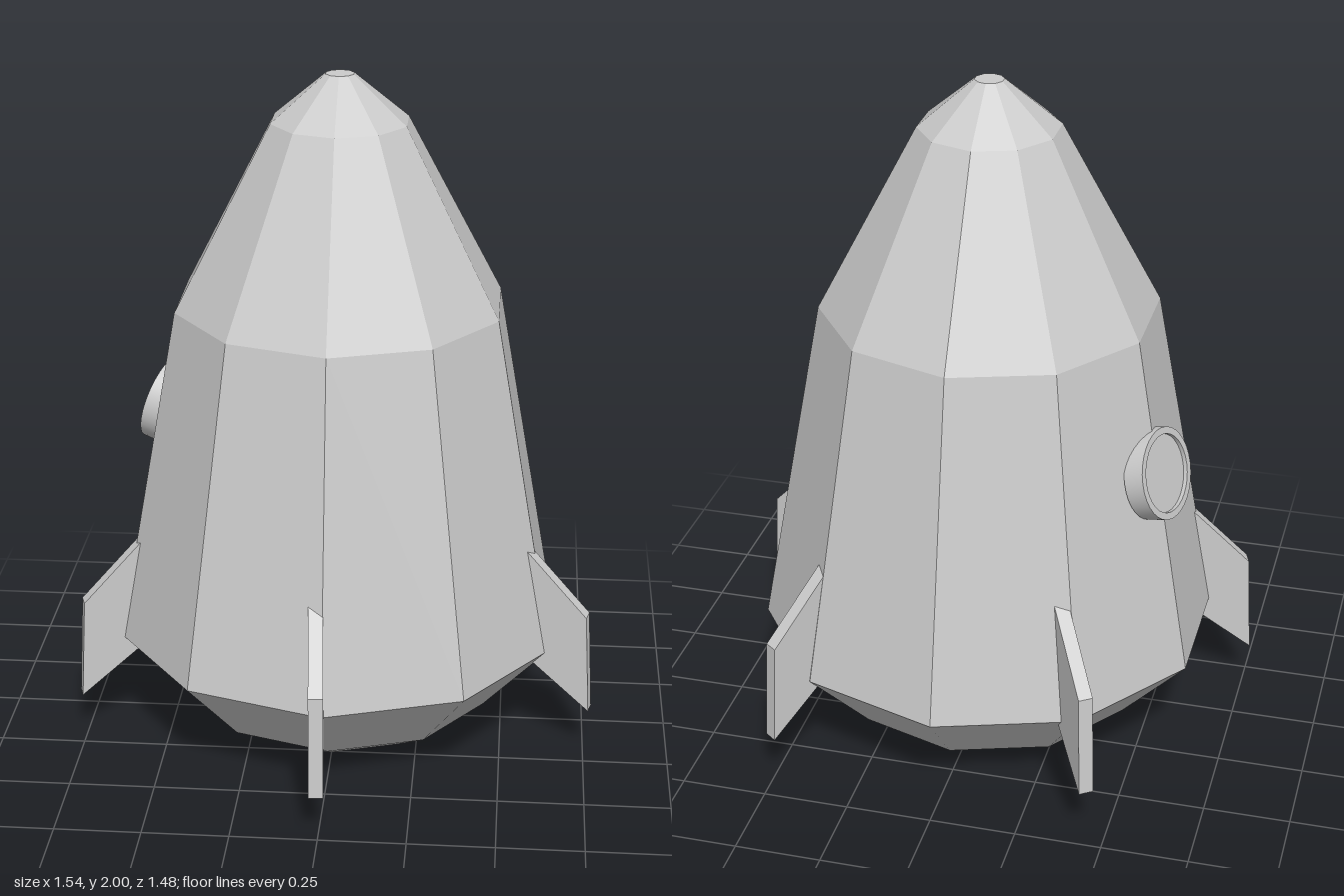
import * as THREE from 'three';
import { toCreasedNormals } from 'three/addons/utils/BufferGeometryUtils.js';

const deg = THREE.MathUtils.degToRad;
const points = (list) => list.map(([x, y]) => new THREE.Vector2(x, y));

export function createModel() {
  const rocket = new THREE.Group();
  rocket.name = 'rocket';
  const flat = new THREE.MeshStandardMaterial({ color: 0xcccccc, flatShading: true });
  const smooth = new THREE.MeshStandardMaterial({ color: 0xcccccc });

  // Everything is arranged around the hull axis, slightly behind the origin
  const axisZ = -0.06;
  const place = (object, angle, radius, y) =>
    object.position.set(Math.sin(angle) * radius, y, axisZ + Math.cos(angle) * radius);

  // Ten-sided hull with a shallow nozzle recess underneath
  const hull = new THREE.Mesh(new THREE.LatheGeometry(points([
    [0, 0.035], [0.285, 0.035], [0.3, 0], [0.317, 0], [0.47, 0.09], [0.676, 0.315],
    [0.49, 1.325], [0.203, 1.865], [0.042, 2], [0, 2],
  ]), 10), flat);
  hull.name = 'hull';
  hull.position.z = axisZ;
  rocket.add(hull);

  // Swept fins; the profile is radial distance by height, pivoting at the outer edge
  const pivot = 0.79;
  const finShape = new THREE.Shape(points([
    [0.55, 0.33], [0.803, 0.13], [0.787, 0.435], [0.57, 0.66],
  ]));
  const finGeometry = new THREE.ExtrudeGeometry(finShape, { depth: 0.042, bevelEnabled: false });
  finGeometry.translate(-pivot, 0, -0.021).rotateY(-Math.PI / 2);

  // Angle around the hull, twist and lift of each fin (degrees, degrees, units)
  const fins = [[-0.4, 5, 0], [72.4, 4.5, 0.012], [142, 0, 0.033], [214, 0.5, 0.033], [288, 0, 0.005]];
  for (const [angle, twist, lift] of fins) {
    const fin = new THREE.Mesh(finGeometry, flat);
    fin.name = 'fin';
    place(fin, deg(angle), pivot, lift);
    fin.rotation.y = deg(angle + twist);
    rocket.add(fin);
  }

  // Round porthole: raised rim and recessed pane
  const porthole = new THREE.Mesh(toCreasedNormals(new THREE.LatheGeometry(points([
    [0.132, -0.06], [0.132, 0], [0.112, 0], [0.112, -0.012], [0, -0.012],
  ]), 32), deg(30)), smooth);
  porthole.name = 'porthole';
  place(porthole, deg(252.5), 0.588, 0.94);
  porthole.rotation.set(Math.PI / 2 - deg(16), deg(252.5), 0, 'YXZ');
  rocket.add(porthole);

  return rocket;
}
